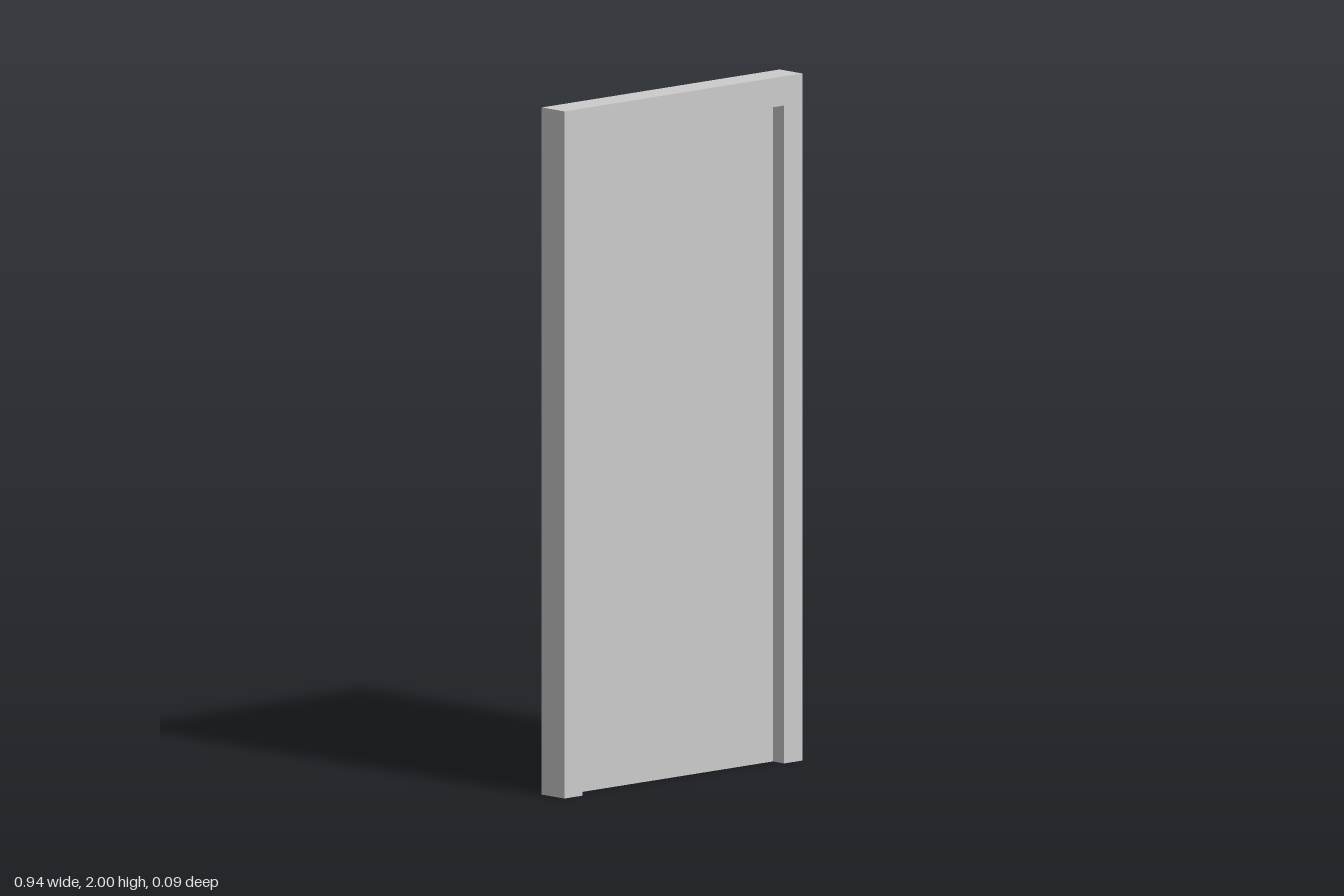
import * as THREE from 'three';

const W = 0.472, H = 2, D = 0.047;   // outer half width, height, half depth
const w = 0.4, h = 1.915, zPanel = 0; // opening half width, height, panel depth

const material = new THREE.MeshStandardMaterial({
  color: 0xcccccc, side: THREE.DoubleSide, flatShading: true,
});

// Sheet swept along z from an open outline of [x, y] points
function sheet(outline, zBack, zFront) {
  const pos = [];
  for (let i = 0; i < outline.length - 1; i++) {
    const p = outline[i], q = outline[i + 1];
    pos.push(...p, zFront, ...p, zBack, ...q, zBack);
    pos.push(...p, zFront, ...q, zBack, ...q, zFront);
  }
  const geo = new THREE.BufferGeometry();
  geo.setAttribute('position', new THREE.Float32BufferAttribute(pos, 3));
  geo.computeVertexNormals();
  return geo;
}

export function createModel() {
  const group = new THREE.Group();
  group.name = 'door';
  const add = (name, geo) => {
    const mesh = new THREE.Mesh(geo, material);
    mesh.name = name;
    group.add(mesh);
    return mesh;
  };

  const outer = [[W, 0], [W, H], [-W, H], [-W, 0]];
  const inner = [[-w, 0], [-w, h], [w, h], [w, 0]];

  // Front face of the frame, an upside-down U
  const face = new THREE.Shape([...outer, ...inner].map(([x, y]) => new THREE.Vector2(x, y)));
  add('frameFace', new THREE.ShapeGeometry(face)).position.z = D;

  // Outer sides and top, open at the back and bottom
  add('frameSides', sheet(outer, -D, D));

  // Walls of the recess, from the frame face back to the panel
  add('recessWalls', sheet(inner, zPanel, D));

  // Recessed door panel
  add('doorPanel', new THREE.PlaneGeometry(2 * w, h)).position.set(0, h / 2, zPanel);

  return group;
}
